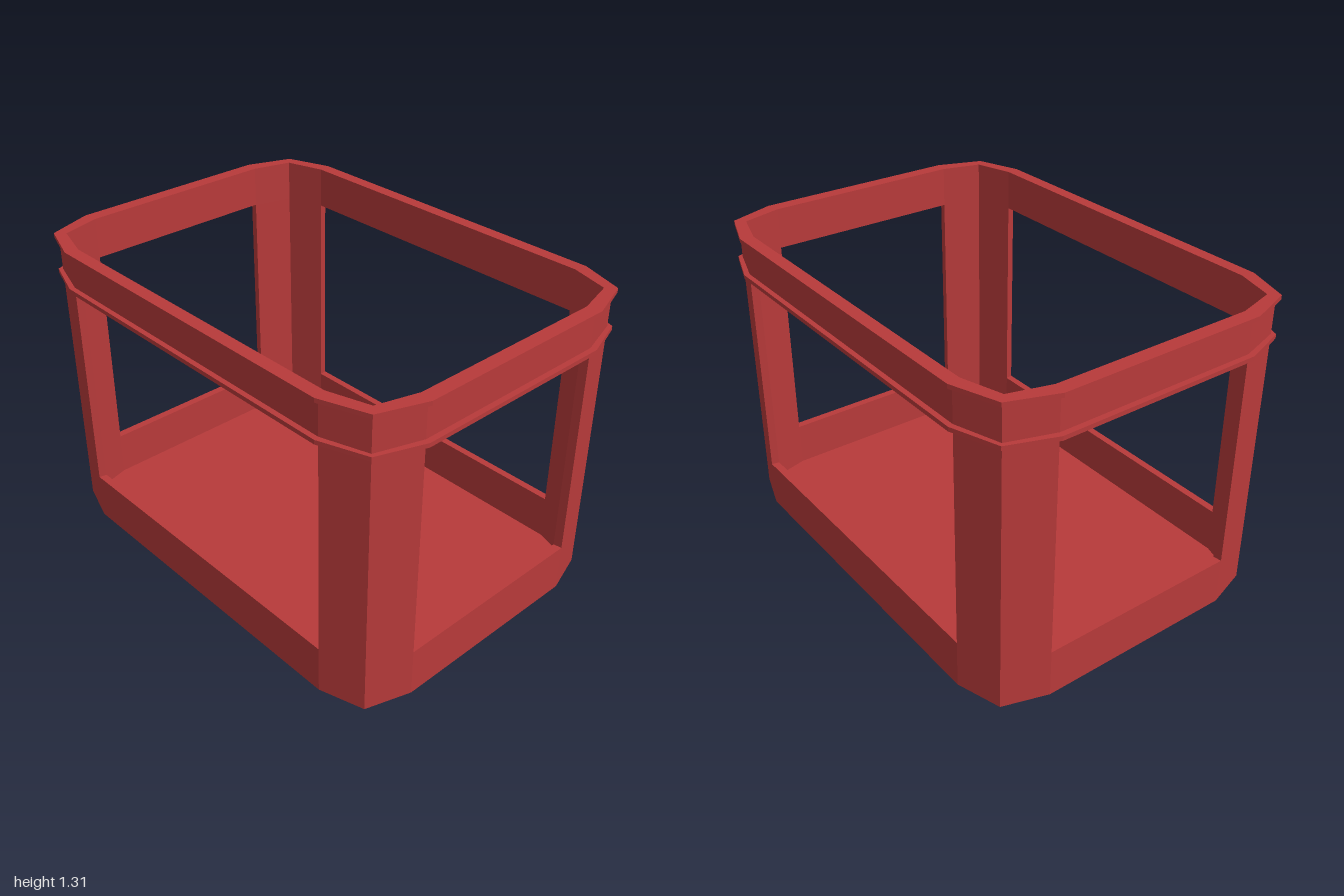
import * as THREE from 'three';

// Quarter outlines [x, z] of the chamfered plan, walked from the long side to the short side
const RIM = [[0.735, 0.71], [0.93, 0.642], [1.0, 0.447]];
const OUTER = [[0.73, 0.688], [0.916, 0.629], [0.976, 0.441]];
const INNER = [[0.724, 0.655], [0.893, 0.605], [0.94, 0.435]];

// Mirror a quarter outline into the closed 12-sided loop
function loop(q) {
  const r = [...q].reverse();
  return [
    ...q,
    ...r.map(([x, z]) => [x, -z]),
    ...q.map(([x, z]) => [-x, -z]),
    ...r.map(([x, z]) => [-x, z]),
  ].map(([x, z]) => new THREE.Vector2(x, z));
}

export function createModel() {
  const group = new THREE.Group();
  const red = new THREE.MeshStandardMaterial({ color: 0xb83a3a });
  red.name = 'brick red';

  // Extrude a plan shape upwards from y0 to y1
  function slab(name, points, y0, y1, hole) {
    const shape = new THREE.Shape(points);
    // The hole runs against the outline so that its walls face inwards
    if (hole) shape.holes.push(new THREE.Path([...hole].reverse()));
    const geo = new THREE.ExtrudeGeometry(shape, { depth: y1 - y0, bevelEnabled: false });
    geo.rotateX(-Math.PI / 2);
    const mesh = new THREE.Mesh(geo, red);
    mesh.name = name;
    mesh.position.y = y0;
    group.add(mesh);
  }

  // Floor and low wall
  slab('floor', loop(OUTER), 0, 0.012);
  slab('lowerWall', loop(OUTER), 0.012, 0.208, loop(INNER));

  // Four folded corner posts between the side openings
  for (const sx of [1, -1]) {
    for (const sz of [1, -1]) {
      const plan = [...OUTER, ...[...INNER].reverse()];
      const points = plan.map(([x, z]) => new THREE.Vector2(x * sx, z * sz));
      const name = (sz < 0 ? 'front' : 'back') + (sx > 0 ? 'Left' : 'Right') + 'Post';
      slab(name, points, 0.208, 1.135);
    }
  }

  // Upper band with a projecting rim along each edge
  slab('lowerRim', loop(RIM), 1.135, 1.153, loop(INNER));
  slab('upperBand', loop(OUTER), 1.153, 1.295, loop(INNER));
  slab('topRim', loop(RIM), 1.295, 1.313, loop(INNER));

  return group;
}
